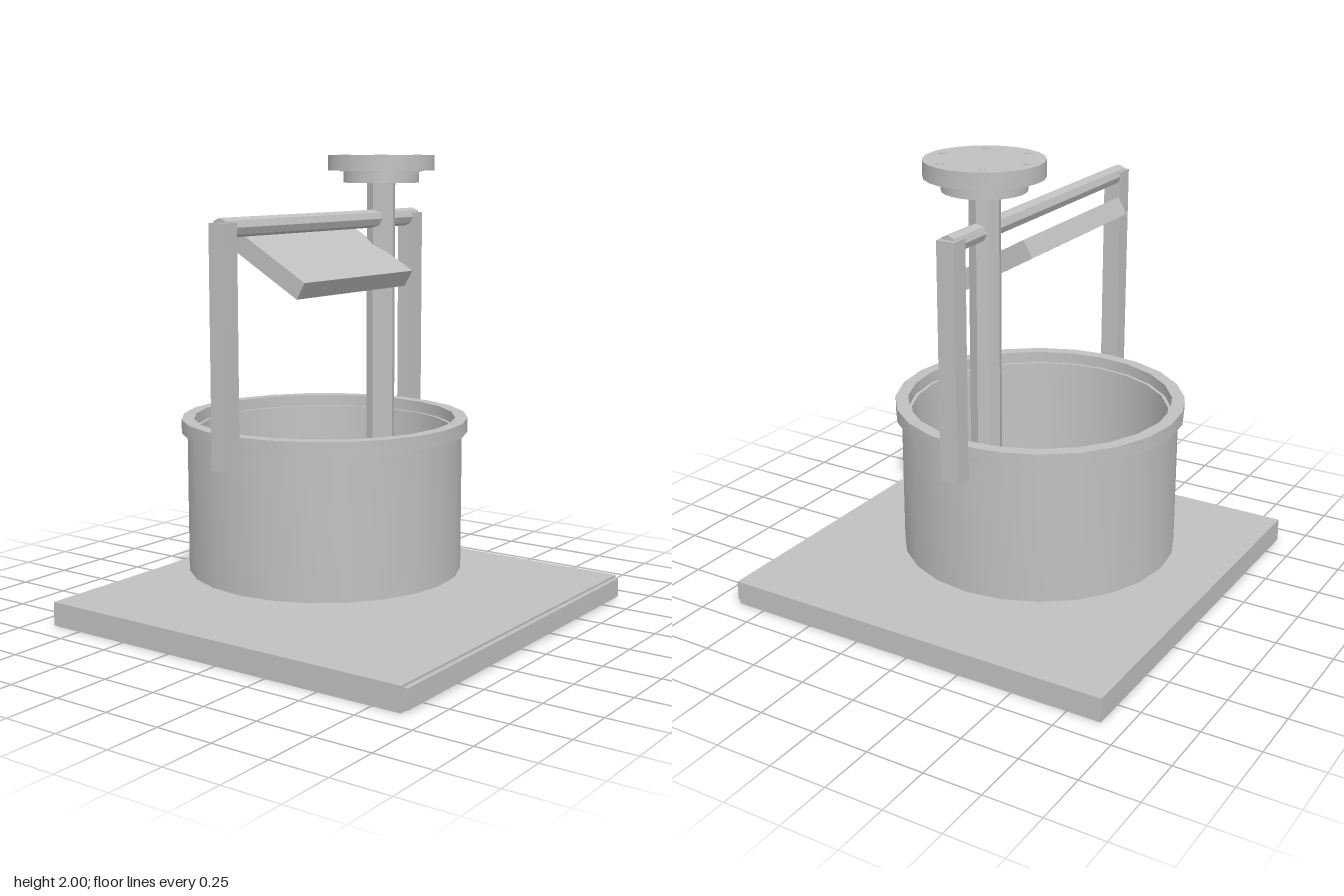
import * as THREE from 'three';
import { toCreasedNormals } from 'three/addons/utils/BufferGeometryUtils.js';

const AXIS_Z = -0.11; // depth of the well's centre line
const POST_X = 0.435;

export function createModel() {
  const model = new THREE.Group();
  model.name = 'well';
  const grey = new THREE.MeshStandardMaterial({ name: 'stone grey', color: 0xc0c0c0 });
  const blue = new THREE.MeshStandardMaterial({ name: 'water blue', color: 0x5b8fad, side: THREE.DoubleSide });

  const add = (name, geometry, x, y, z, material = grey) => {
    const mesh = new THREE.Mesh(geometry, material);
    mesh.name = name;
    mesh.position.set(x, y, z);
    model.add(mesh);
    return mesh;
  };
  // Smooth round sides, sharp corners
  const crease = (geometry) => toCreasedNormals(geometry, Math.PI / 6);
  const cylinder = (r, h, sides) => crease(new THREE.CylinderGeometry(r, r, h, sides));
  // Closed ring turned from a profile of [radius, height] corners
  const ring = (...corners) => crease(new THREE.LatheGeometry(
    [...corners, corners[0]].map(([r, y]) => new THREE.Vector2(r, y)), 24));

  // Base slab with a thin front panel
  add('base', new THREE.BoxGeometry(1.78, 0.105, 1.78), 0, 0.0525, -0.01);
  add('basePanel', new THREE.BoxGeometry(1.755, 0.085, 0.02), 0, 0.0525, 0.89);

  // Round basin: wall, rim and water
  add('basinWall', ring([0.6, 0.2], [0.6, 0.82], [0.555, 0.82], [0.535, 0.2]), 0, 0, AXIS_Z);
  add('basinRim', ring([0.625, 0.81], [0.625, 0.87], [0.57, 0.87], [0.57, 0.81]), 0, 0, AXIS_Z);
  add('water', new THREE.CircleGeometry(0.537, 24), 0, 0.23, AXIS_Z, blue).rotation.x = -Math.PI / 2;

  // Side posts and octagonal crossbar
  for (const side of [-1, 1]) {
    add(side < 0 ? 'rightFramePost' : 'leftFramePost',
      new THREE.BoxGeometry(0.08, 0.995, 0.08), side * 0.677, 1.2375, AXIS_Z);
  }
  add('crossbar', cylinder(0.04, 1.395, 8), 0, 1.715, AXIS_Z).rotation.z = Math.PI / 2;

  // Tilted board under the crossbar
  add('tiltedBoard', new THREE.BoxGeometry(0.8, 0.08, 0.4), 0, 1.553, AXIS_Z).rotation.x = Math.PI / 6;

  // Octagonal column with a two-step round head
  add('column', cylinder(0.065, 1.69, 8), POST_X, 1.045, AXIS_Z);
  add('headCollar', cylinder(0.17, 0.06, 24), POST_X, 1.905, AXIS_Z);
  add('headDisc', cylinder(0.24, 0.068, 24), POST_X, 1.963, AXIS_Z);

  // Bolts through the head
  for (let i = 0; i < 6; i++) {
    const a = (i * Math.PI) / 3;
    add('headBolt', cylinder(0.016, 0.076, 8),
      POST_X + 0.19 * Math.sin(a), 1.962, AXIS_Z + 0.19 * Math.cos(a));
  }
  return model;
}
